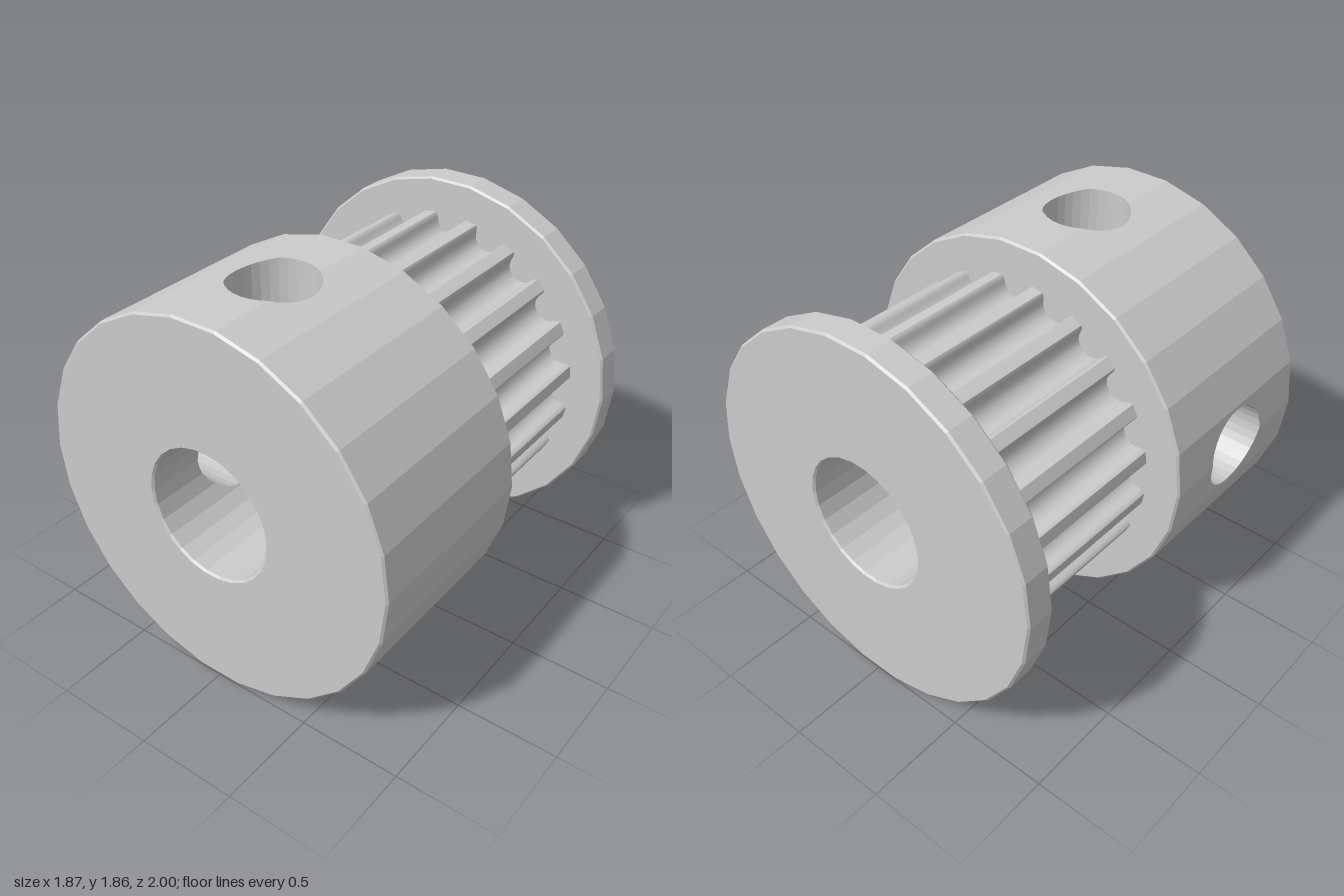
import * as THREE from 'three';
import { toCreasedNormals } from 'three/addons/utils/BufferGeometryUtils.js';

const SIDES = 26, R = 0.935, BORE = 0.32, BEVEL = 0.01;
const AXIS_Y = R * Math.cos(Math.PI / SIDES);
const HOLE = { r: 0.205, z: 0.51, dirs: [Math.PI / 2, Math.PI], steps: 32 };

// Distance from the axis to a 26-sided prism at a given angle
function prismRadius(radius, angle) {
  const step = 2 * Math.PI / SIDES;
  const local = angle - (Math.floor(angle / step) + 0.5) * step;
  return radius * Math.cos(step / 2) / Math.cos(local);
}

function prismPoint(radius, angle, z) {
  const d = prismRadius(radius, angle);
  return [d * Math.cos(angle), d * Math.sin(angle), z];
}

// Angle at which the prism lies at sideways offset x from a screw hole's axis
function angleAtOffset(radius, dir, x) {
  let a = 0;
  for (let i = 0; i < 20; i++) a = Math.asin(x / prismRadius(radius, dir + a));
  return dir + a;
}

// Half the height of the screw hole opening at an angle on the prism
function holeGap(radius, angle) {
  for (const dir of HOLE.dirs) {
    const x = prismRadius(radius, angle) * Math.sin(angle - dir);
    if (Math.cos(angle - dir) > 0 && Math.abs(x) < HOLE.r) return Math.sqrt(HOLE.r ** 2 - x * x);
  }
  return 0;
}

function quad(out, a, b, c, d, flip) {
  const order = flip ? [a, c, b, a, d, c] : [a, b, c, a, c, d];
  for (const p of order) out.push(...p);
}

function toGeometry(positions) {
  const g = new THREE.BufferGeometry();
  g.setAttribute('position', new THREE.Float32BufferAttribute(positions, 3));
  g.computeVertexNormals();
  return g;
}

// Faceted wall in narrow strips, cut open around the screw holes
function wallGeometry(radius, z0, z1, inward) {
  const angles = [];
  for (let i = 0; i <= SIDES; i++) angles.push(i * 2 * Math.PI / SIDES);
  for (const dir of HOLE.dirs)
    for (let k = 0; k <= HOLE.steps / 2; k++)
      angles.push(angleAtOffset(radius, dir, HOLE.r * Math.cos(2 * Math.PI * k / HOLE.steps)));
  angles.sort((a, b) => a - b);
  const out = [];
  for (let i = 0; i + 1 < angles.length; i++) {
    const a = angles[i], b = angles[i + 1];
    if (b - a < 1e-6) continue;
    const ga = holeGap(radius, a), gb = holeGap(radius, b);
    const strip = (a0, b0, a1, b1) => quad(out,
      prismPoint(radius, a, a0), prismPoint(radius, b, b0),
      prismPoint(radius, b, b1), prismPoint(radius, a, a1), inward);
    if (ga + gb === 0) strip(z0, z0, z1, z1);
    else {
      strip(z0, z0, HOLE.z - ga, HOLE.z - gb);
      strip(HOLE.z + ga, HOLE.z + gb, z1, z1);
    }
  }
  return toGeometry(out);
}

// Round screw hole running from the bore to the hub's outer wall
function screwHoleGeometry(dir) {
  const out = [];
  const point = (radius, k) => {
    const t = 2 * Math.PI * k / HOLE.steps;
    return prismPoint(radius, angleAtOffset(radius, dir, HOLE.r * Math.cos(t)), HOLE.z + HOLE.r * Math.sin(t));
  };
  for (let k = 0; k < HOLE.steps; k++)
    quad(out, point(BORE, k), point(BORE, k + 1), point(R, k + 1), point(R, k), true);
  return toGeometry(out);
}

// Turned profile of [radius, z] points about the z axis
function turned(points) {
  const profile = points.map(([r, z]) => new THREE.Vector2(r, z));
  return new THREE.LatheGeometry(profile, SIDES, Math.PI / 2).rotateX(Math.PI / 2);
}

// Belt section: twenty flat-topped teeth with rounded grooves
function toothGeometry(z0, z1) {
  const teeth = 20, tipR = 0.757;
  const half = [[0.089, 0.752], [0.08, 0.744], [0.074, 0.728], [0.069, 0.705], [0.056, 0.68], [0.032, 0.662]];
  const groove = [...half.map(([t, r]) => [-t, r]), [0, 0.656], ...half.slice().reverse()];
  const pts = [];
  for (let i = 0; i < teeth; i++) {
    const c = THREE.MathUtils.degToRad(-1 + i * 360 / teeth);
    for (const [t, r] of groove)
      pts.push(new THREE.Vector2(r * Math.cos(c) - t * Math.sin(c), r * Math.sin(c) + t * Math.cos(c)));
    // middle of the tooth tip
    const m = c + Math.PI / teeth;
    pts.push(new THREE.Vector2(tipR * Math.cos(m), tipR * Math.sin(m)));
  }
  const shape = new THREE.Shape(pts);
  shape.holes.push(new THREE.Path().absarc(0, 0, 0.5, 0, Math.PI * 2, true));
  const g = new THREE.ExtrudeGeometry(shape, { depth: z1 - z0, bevelEnabled: false, curveSegments: 13 });
  return toCreasedNormals(g.translate(0, 0, z0), 0.6);
}

export function createModel() {
  const flat = new THREE.MeshStandardMaterial({ color: 0xcccccc, flatShading: true });
  const smooth = new THREE.MeshStandardMaterial({ color: 0xcccccc });
  const model = new THREE.Group();
  model.name = 'beltPulley';
  const add = (name, geometry, material = flat) => {
    const mesh = new THREE.Mesh(geometry, material);
    mesh.name = name;
    mesh.position.y = AXIS_Y;
    model.add(mesh);
  };

  // Hub with bevelled rims
  add('hubWall', wallGeometry(R, 0.03 + BEVEL, 1 - BEVEL, false));
  add('hubFrontFace', turned([[R, 1 - BEVEL], [R - BEVEL, 1], [BORE + BEVEL, 1], [BORE, 1 - BEVEL]]));
  add('hubBackFace', turned([[0.6, 0.03], [R - BEVEL, 0.03], [R, 0.03 + BEVEL]]));

  // Shaft bore and the two screw holes that meet it
  add('bore', wallGeometry(BORE, -1 + BEVEL, 1 - BEVEL, true));
  HOLE.dirs.forEach((dir, i) => add(['topScrewHole', 'rightScrewHole'][i], screwHoleGeometry(dir)));

  // Toothed belt section
  add('teeth', toothGeometry(-0.855, 0.035), smooth);

  // Rear flange
  add('flange', turned([
    [BORE, -1 + BEVEL], [BORE + BEVEL, -1], [R - BEVEL, -1], [R, -1 + BEVEL],
    [R, -0.85 - BEVEL], [R - BEVEL, -0.85], [0.6, -0.85],
  ]));
  return model;
}
